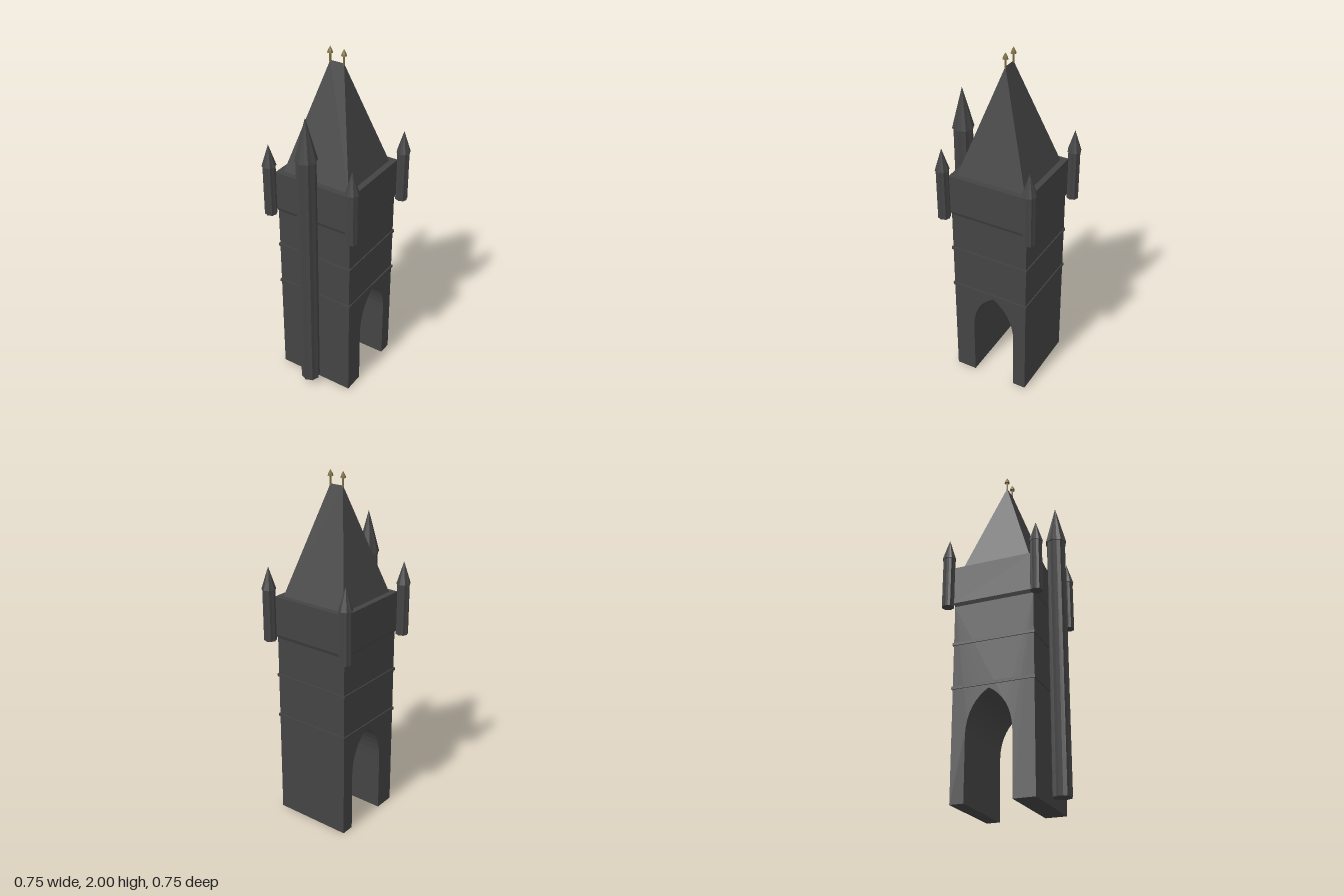
import * as THREE from 'three';
import { ConvexGeometry } from 'three/addons/geometries/ConvexGeometry.js';

const stone = new THREE.MeshStandardMaterial({ color: 0x444444, flatShading: true });
stone.name = 'dark stone';
const gilt = new THREE.MeshStandardMaterial({ color: 0x7d6d42, flatShading: true });
gilt.name = 'old gilt';

const HALF = 0.2285; // half width of the tower body
const TOP = 0.236; // half width of the upper storey

function add(parent, name, geometry, material, x = 0, y = 0, z = 0) {
  const mesh = new THREE.Mesh(geometry, material);
  mesh.name = name;
  mesh.position.set(x, y, z);
  parent.add(mesh);
  return mesh;
}

// Square block that may taper from one half width to another
function squareBlock(bottomHalf, topHalf, y0, y1) {
  const g = new THREE.CylinderGeometry(topHalf * Math.SQRT2, bottomHalf * Math.SQRT2, y1 - y0, 4);
  g.rotateY(Math.PI / 4);
  g.translate(0, (y0 + y1) / 2, 0);
  return g;
}

// Eight-cornered turret with hollowed faces and a pointed cap
function turretGeometry(shaftR, capR, y0, eave, tip) {
  const profile = [
    [0, y0], [shaftR, y0], [shaftR, eave], [capR, eave], [0, tip],
  ].map(([r, y]) => new THREE.Vector2(r, y));
  const g = new THREE.LatheGeometry(profile, 16);
  const p = g.attributes.position;
  for (let i = 0; i < p.count; i++) {
    if (Math.floor(i / profile.length) % 2 === 1) {
      p.setXYZ(i, p.getX(i) * 0.885, p.getY(i), p.getZ(i) * 0.885);
    }
  }
  return g;
}

// Tower body with a pointed passage running through it from side to side
function bodyGeometry() {
  const c = 0.022, w = 0.13, spring = 0.34, apex = 0.59;
  const s = new THREE.Shape();
  s.moveTo(-HALF, 0);
  s.lineTo(c - w, 0);
  s.lineTo(c - w, spring);
  s.bezierCurveTo(c - w, spring + 0.13, c - 0.07, apex - 0.04, c, apex);
  s.bezierCurveTo(c + 0.07, apex - 0.04, c + w, spring + 0.13, c + w, spring);
  s.lineTo(c + w, 0);
  s.lineTo(HALF, 0);
  s.lineTo(HALF, 1.09);
  s.lineTo(-HALF, 1.09);
  s.closePath();
  const g = new THREE.ExtrudeGeometry(s, { depth: HALF * 2, bevelEnabled: false, curveSegments: 8 });
  g.translate(0, 0, -HALF);
  g.rotateY(Math.PI / 2);
  return g;
}

export function createModel() {
  const model = new THREE.Group();
  model.name = 'gateTower';

  // The whole tower stands turned on its base
  const tower = new THREE.Group();
  tower.name = 'tower';
  tower.rotation.y = -0.405;
  tower.position.z = -0.001;
  model.add(tower);

  add(tower, 'body', bodyGeometry(), stone);
  add(tower, 'corbel', squareBlock(HALF, TOP, 1.09, 1.11), stone);
  add(tower, 'upperStorey', squareBlock(TOP, TOP, 1.11, 1.33), stone);

  // String courses
  for (const y of [0.615, 0.865]) {
    const w = (HALF + 0.006) * 2;
    add(tower, 'stringCourse', new THREE.BoxGeometry(w, 0.016, w), stone, 0, y, 0);
  }

  // Hipped roof with a short ridge
  const b = 0.2025, ridge = 0.041, ridgeY = 1.925;
  const roofPoints = [new THREE.Vector3(-ridge, ridgeY, 0), new THREE.Vector3(ridge, ridgeY, 0)];
  for (const x of [-b, b]) for (const z of [-b, b]) roofPoints.push(new THREE.Vector3(x, 1.33, z));
  add(tower, 'roof', new ConvexGeometry(roofPoints), stone);

  // Finials on the ridge ends
  const finialProfile = [
    [0.0055, -0.01], [0.0055, 0.037], [0.016, 0.04], [0.012, 0.052], [0, 0.075],
  ].map(([r, y]) => new THREE.Vector2(r, y));
  for (const side of [-1, 1]) {
    add(tower, 'finial', new THREE.LatheGeometry(finialProfile, 7), gilt, side * ridge, ridgeY, 0);
  }

  // Corner turrets
  const corner = 0.258;
  for (const x of [-corner, corner]) for (const z of [-corner, corner]) {
    add(tower, 'cornerTurret', turretGeometry(0.035, 0.04, 1.08, 1.375, 1.5), stone, x, 0, z);
  }

  // Tall stair turret against the front wall
  add(tower, 'stairTurret', turretGeometry(0.054, 0.062, 0.04, 1.5, 1.735), stone, 0, 0, 0.284);

  return model;
}
